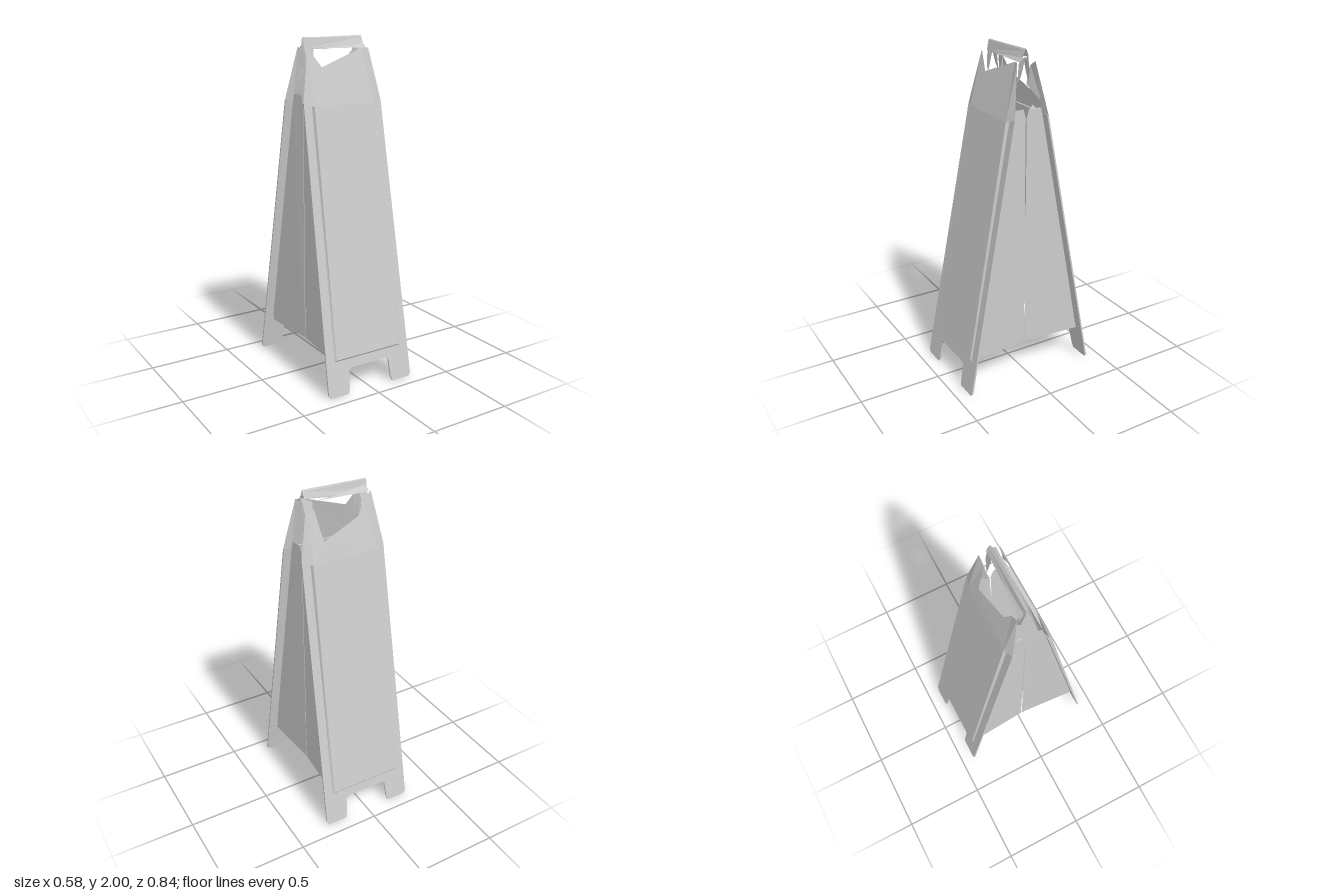
import * as THREE from 'three';

const material = new THREE.MeshStandardMaterial({ color: 0xcccccc, flatShading: true, side: THREE.DoubleSide });

// Thin folded sheet: each polygon is a list of corners, filled as a fan
function sheet(name, polygons) {
  const pos = [];
  for (const p of polygons)
    for (let i = 1; i < p.length - 1; i++) pos.push(...p[0], ...p[i], ...p[i + 1]);
  const g = new THREE.BufferGeometry();
  g.setAttribute('position', new THREE.Float32BufferAttribute(pos, 3));
  g.computeVertexNormals();
  const m = new THREE.Mesh(g, material);
  m.name = name;
  return m;
}

const mirrorX = (polys) => polys.map((p) => p.map(([x, y, z]) => [-x, y, z]));
const mirrorZ = (polys) => polys.map((p) => p.map(([x, y, z]) => [x, y, -z]));
const leanZ = (y) => 0.42 - 0.19 * y; // outer face of the leaning board

// Leaning board frame with two feet and a window for the raised panel
function boardFrame() {
  const outline = [
    [-0.275, 0], [-0.155, 0], [-0.145, 0.03], [-0.138, 0.13], [-0.125, 0.145],
    [0.125, 0.145], [0.138, 0.13], [0.145, 0.03], [0.155, 0], [0.275, 0],
    [0.288, 0.02], [0.258, 1.64], [-0.258, 1.64], [-0.288, 0.02],
  ];
  const shape = new THREE.Shape(outline.map(([x, y]) => new THREE.Vector2(x, y)));
  const window_ = [[-0.228, 0.2], [-0.208, 1.625], [0.208, 1.625], [0.228, 0.2]];
  shape.holes.push(new THREE.Path(window_.map(([x, y]) => new THREE.Vector2(x, y))));
  const g = new THREE.ExtrudeGeometry(shape, { depth: 0.01, bevelEnabled: false });
  const p = g.attributes.position;
  for (let i = 0; i < p.count; i++) p.setZ(i, p.getZ(i) - 0.01 + leanZ(p.getY(i)));
  g.computeVertexNormals();
  const m = new THREE.Mesh(g, material);
  m.name = 'boardFrame';
  return m;
}

// Slightly raised centre panel with a sloping rim
function raisedPanel() {
  const rim = [[-0.228, 0.2], [0.228, 0.2], [0.208, 1.625], [-0.208, 1.625]]
    .map(([x, y]) => [x, y, leanZ(y)]);
  const face = [[-0.22, 0.21, 0.389], [0.22, 0.21, 0.389], [0.2, 1.62, 0.13], [-0.2, 1.62, 0.13]];
  const polys = [face];
  for (let i = 0; i < 4; i++) {
    const j = (i + 1) % 4;
    polys.push([rim[i], rim[j], face[j], face[i]]);
  }
  return sheet('raisedPanel', polys);
}

// Tapered collar above the board; edge holds the inner rim of the hand opening, left to right
function collar(edge) {
  const a = [-0.258, 1.64, 0.107], b = [0.258, 1.64, 0.107];
  const p = [-0.2, 1.62, 0.13], q = [0.2, 1.62, 0.13];
  const n = edge.length, t = edge[0], u = edge[n - 1];
  const mid = edge.slice(1, n - 1);
  const polys = [
    [a, p, t], [b, u, q],
    [p, ...mid.slice(0, n / 2 - 1).reverse(), t],
    [q, u, ...mid.slice(n / 2 - 1).reverse()],
    [p, q, mid[n / 2 - 1], mid[n / 2 - 2]],
    // side returns
    [a, t, [-0.21, 1.64, 0.095]], [b, [0.21, 1.64, 0.095], u],
  ];
  return sheet('collar', polys);
}

export function createModel() {
  const model = new THREE.Group();

  const frontEdge = [[-0.2, 1.94, 0.05], [-0.12, 1.83, 0.075], [0.16, 1.93, 0.05], [0.2, 1.93, 0.06]];
  const backEdge = [
    [-0.2, 1.94, 0.055], [-0.15, 1.9, 0.058], [-0.11, 1.82, 0.08],
    [0.12, 1.73, 0.105], [0.15, 1.9, 0.055], [0.2, 1.93, 0.055],
  ];
  // Front and back boards
  for (const [name, edge, s] of [['frontBoard', frontEdge, 1], ['backBoard', backEdge, -1]]) {
    const board = new THREE.Group();
    board.name = name;
    board.add(boardFrame(), raisedPanel(), collar(edge));
    board.scale.z = s;
    model.add(board);
  }

  // Side panels, folded inward along the middle
  const half = [[
    [0.2, 0.2, 0.003], [0.226, 0.2, 0.37], [0.21, 1.62, 0.112], [0.209, 1.665, 0.1],
    [0.207, 1.675, 0.08], [0.201, 1.675, 0.018], [0.2, 1.62, 0.003],
  ]];
  const tab = [[[0.206, 1.67, 0.06], [0.207, 1.67, 0.02], [0.2, 1.695, 0.04]]];
  const gusset = [...half, ...mirrorZ(half), ...mirrorZ(tab)];
  model.add(sheet('leftSidePanel', gusset), sheet('rightSidePanel', mirrorX(gusset)));

  // Top handle: two leaning strips meeting at a ridge
  const strip = [
    [[-0.2, 1.93, 0.018], [-0.07, 1.925, 0.02], [0.19, 1.955, 0.02], [0.19, 1.99, 0.006], [-0.2, 1.99, 0.006]],
    [[-0.2, 1.99, 0.006], [0.19, 1.99, 0.006], [0.19, 2, 0], [0, 1.99, 0], [-0.19, 1.995, 0]],
  ];
  model.add(sheet('handle', [...strip, ...mirrorZ(strip)]));

  // Folded flaps under the handle
  const flaps = [
    [[-0.12, 1.93, 0.02], [0.2, 1.93, 0.04], [0.19, 1.96, 0.015]],
    [[-0.2, 1.96, 0.008], [-0.19, 1.88, 0.025], [-0.15, 1.8, 0.042], [-0.14, 1.93, 0.018]],
    [[0.2, 1.96, 0.008], [0.2, 1.86, 0.035], [0.17, 1.81, 0.04], [0.15, 1.93, 0.018]],
  ];
  model.add(sheet('handleFlaps', [...flaps, ...mirrorZ(mirrorX(flaps))]));

  // Corner tabs inside the back opening
  model.add(sheet('openingTabs', [
    [[0.2, 1.7, -0.1], [0.15, 1.9, -0.055], [0.125, 1.79, -0.045]],
    [[-0.2, 1.72, -0.095], [-0.15, 1.9, -0.058], [-0.165, 1.79, -0.048]],
  ]));

  return model;
}
